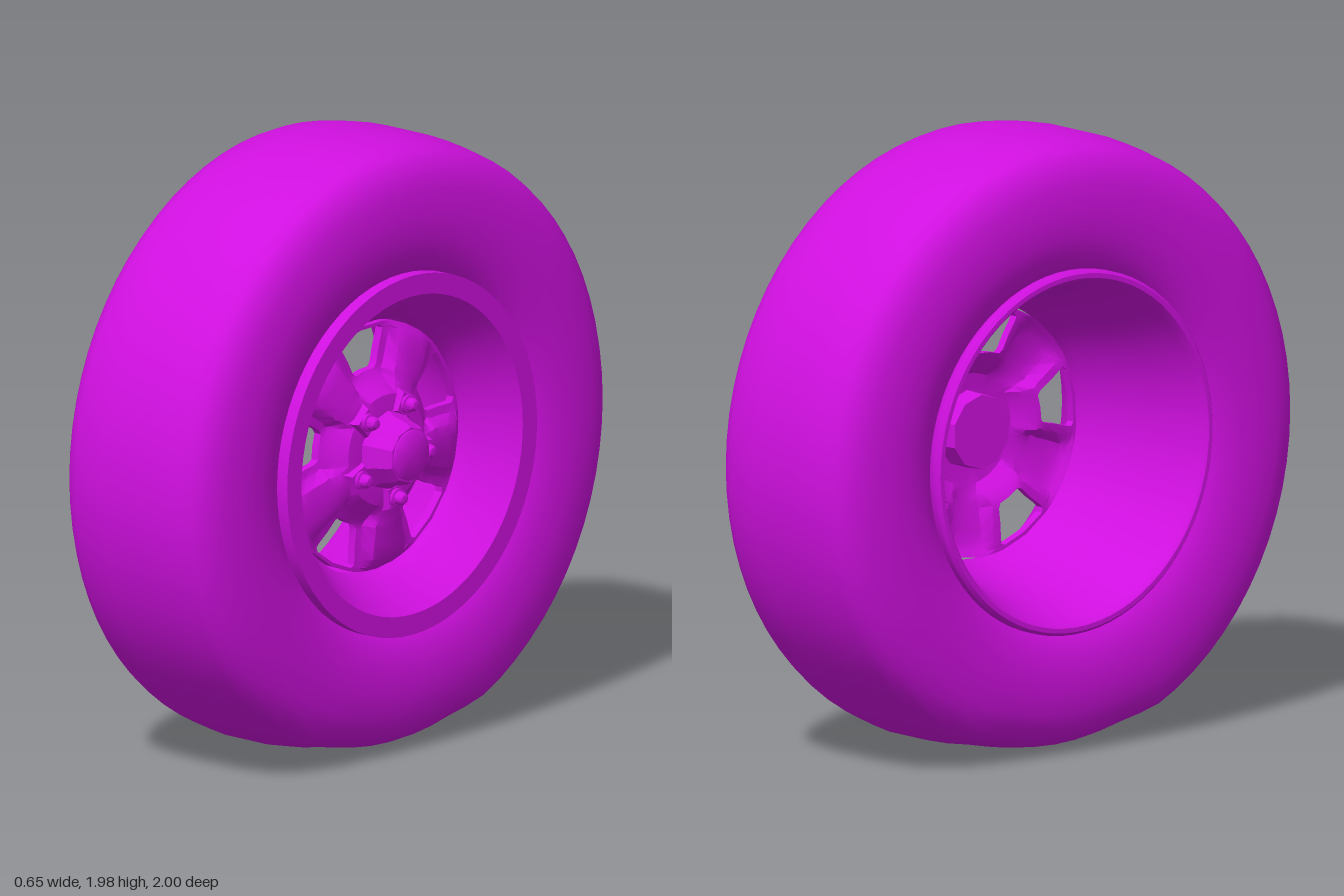
import * as THREE from 'three';
import { mergeVertices, toCreasedNormals } from 'three/addons/utils/BufferGeometryUtils.js';

const material = new THREE.MeshStandardMaterial({ color: 0xd010e0, side: THREE.DoubleSide });
const AXLE_HEIGHT = 0.975;

function mesh(name, geometry, parent) {
  const m = new THREE.Mesh(geometry, material);
  m.name = name;
  parent.add(m);
  return m;
}

// Lathe about the z axis; points are [radius, z]
function turned(points, segments) {
  const g = new THREE.LatheGeometry(points.map(([r, z]) => new THREE.Vector2(r, z)), segments);
  return g.rotateX(Math.PI / 2);
}

// Tyre: symmetric section, squashed a little where it meets the ground
function tyreGeometry() {
  const half = [[0.55, 0.25], [0.59, 0.285], [0.64, 0.308], [0.7, 0.321], [0.78, 0.327], [0.86, 0.317],
    [0.905, 0.304], [0.94, 0.285], [0.965, 0.26], [0.98, 0.225], [0.992, 0.16], [1, 0.09]];
  const section = [...half.map(([r, z]) => [r, -z]), [1, 0], ...half.slice().reverse()];
  let g = turned(section, 72);
  g.deleteAttribute('normal');
  g.deleteAttribute('uv');
  g = mergeVertices(g);
  const p = g.attributes.position;
  for (let i = 0; i < p.count; i++) {
    const x = p.getX(i), y = p.getY(i), r = Math.hypot(x, y);
    const fromBottom = Math.abs(Math.atan2(x, -y)) * 180 / Math.PI;
    const squash = 1 - THREE.MathUtils.smoothstep(fromBottom, 14, 27);
    const k = 1 - 0.025 * squash * THREE.MathUtils.clamp((r - 0.6) / 0.35, 0, 1);
    p.setXY(i, x * k, y * k);
  }
  g.computeVertexNormals();
  return g;
}

// Wheel disc: polar grid in five sectors, windows left open, spokes raised
function discGeometry() {
  const rows = [0.08, 0.13, 0.18, 0.215, 0.238, 0.255, 0.27, 0.32, 0.365, 0.383, 0.392, 0.404];
  const halfAngle = [12, 12, 12, 12, 11.5, 9.5, 11.8, 13.2, 14.8, 15, 13, 15];
  const firstOpen = 5, lastOpen = 10;
  const spread = [0, 0.22, 0.45, 0.75, 1]; // from window edge to spoke centre
  const rise = [0, 0.1, 0.85, 1, 1];
  const columns = [];
  for (let k = 0; k < 5; k++) {
    for (let s = -4; s <= 4; s++) columns.push({ k, s });
    columns.splice(columns.length - 4, 1, { k, s: 1 }); // keep window edge explicit
  }
  const n = columns.length, count = n * rows.length;
  const pos = [], index = [];
  const clamp = THREE.MathUtils.clamp;
  for (const back of [0, 0.028]) {
    rows.forEach((r, j) => {
      for (const { k, s } of columns) {
        const i = Math.abs(s), w = halfAngle[j];
        const offset = s === 0 ? 0 : Math.sign(s) * (w + (35.99 - w) * spread[i - 1]);
        const a = (26 + 72 * k + offset) * Math.PI / 180;
        const up = s === 0 ? 0 : rise[i - 1];
        const inward = clamp((0.25 - r) / 0.07, 0, 1);
        const outer = clamp((0.404 - r) / 0.03, 0, 1);
        const crown = 0.022 + 0.045 * clamp((0.4 - r) / 0.25, 0, 1);
        const z = 0.155 + Math.max(up * outer, inward) * crown;
        pos.push(r * Math.cos(a), r * Math.sin(a), z - back);
      }
    });
  }
  const edges = new Map();
  const quad = (a, b, c, d) => {
    index.push(a, b, c, a, c, d);
    index.push(a + count, c + count, b + count, a + count, d + count, c + count);
    for (const [u, v] of [[a, b], [b, c], [c, d], [d, a]]) {
      if (edges.has(`${v},${u}`)) edges.delete(`${v},${u}`);
      else edges.set(`${u},${v}`, [u, v]);
    }
  };
  for (let j = 0; j < rows.length - 1; j++) {
    for (let c = 0; c < n; c++) {
      const next = (c + 1) % n;
      const open = Math.abs(columns[c].s) <= 1 && Math.abs(columns[next].s) <= 1;
      if (open && j >= firstOpen && j < lastOpen) continue;
      quad(j * n + c, (j + 1) * n + c, (j + 1) * n + next, j * n + next);
    }
  }
  // Walls through the thickness along every open edge
  for (const [u, v] of edges.values()) index.push(u, u + count, v + count, u, v + count, v);
  const g = new THREE.BufferGeometry();
  g.setAttribute('position', new THREE.Float32BufferAttribute(pos, 3));
  g.setIndex(index);
  return toCreasedNormals(g, 0.6);
}

export function createModel() {
  const model = new THREE.Group();
  model.name = 'wheel';
  // Everything is built facing +z, then turned to face +x
  const wheel = new THREE.Group();
  wheel.name = 'wheelAssembly';
  wheel.rotation.y = Math.PI / 2;
  wheel.position.y = AXLE_HEIGHT;
  model.add(wheel);

  mesh('tyre', tyreGeometry(), wheel);

  // Rim: rounded rear lip, tapering barrel, flat front lip
  const rim = [[0.565, -0.26], [0.587, -0.29], [0.587, -0.315], [0.577, -0.326], [0.562, -0.326], [0.552, -0.315],
    [0.545, -0.29], [0.525, -0.24], [0.5, -0.17], [0.475, -0.08], [0.45, 0.01], [0.425, 0.09], [0.412, 0.14],
    [0.414, 0.165], [0.435, 0.2], [0.47, 0.255], [0.498, 0.297], [0.52, 0.326], [0.587, 0.326], [0.587, 0.28], [0.565, 0.26]];
  mesh('rim', toCreasedNormals(turned(rim, 72), 0.7), wheel);

  mesh('spokedDisc', discGeometry(), wheel);

  // Hub: ten-sided tapering body with a round cap
  const hub = [[0, 0.125], [0.12, 0.125], [0.128, 0.23], [0.112, 0.255], [0.1, 0.305], [0.09, 0.32], [0, 0.32]];
  mesh('hub', toCreasedNormals(turned(hub, 10), 0.5), wheel);
  const cap = [[0.082, 0.31], [0.082, 0.324], [0.077, 0.328], [0, 0.328]];
  mesh('hubCap', toCreasedNormals(turned(cap, 32), 0.7), wheel);

  // Lug nuts on tapered square pads at the spoke roots
  const padGeometry = new THREE.CylinderGeometry(0.045, 0.06, 0.03, 4).rotateY(Math.PI / 4).rotateX(Math.PI / 2);
  const pad = toCreasedNormals(padGeometry, 0.4);
  const nut = toCreasedNormals(turned([[0.03, 0], [0.03, 0.012], [0.022, 0.014], [0.022, 0.03], [0.014, 0.041], [0, 0.044]], 12), 0.7);
  for (let k = 0; k < 5; k++) {
    const spoke = new THREE.Group();
    spoke.name = 'lug';
    spoke.rotation.z = (62 + 72 * k) * Math.PI / 180;
    mesh('lugPad', pad, spoke).position.set(0.155, 0, 0.222);
    mesh('lugNut', nut, spoke).position.set(0.158, 0, 0.235);
    wheel.add(spoke);
  }
  return model;
}
